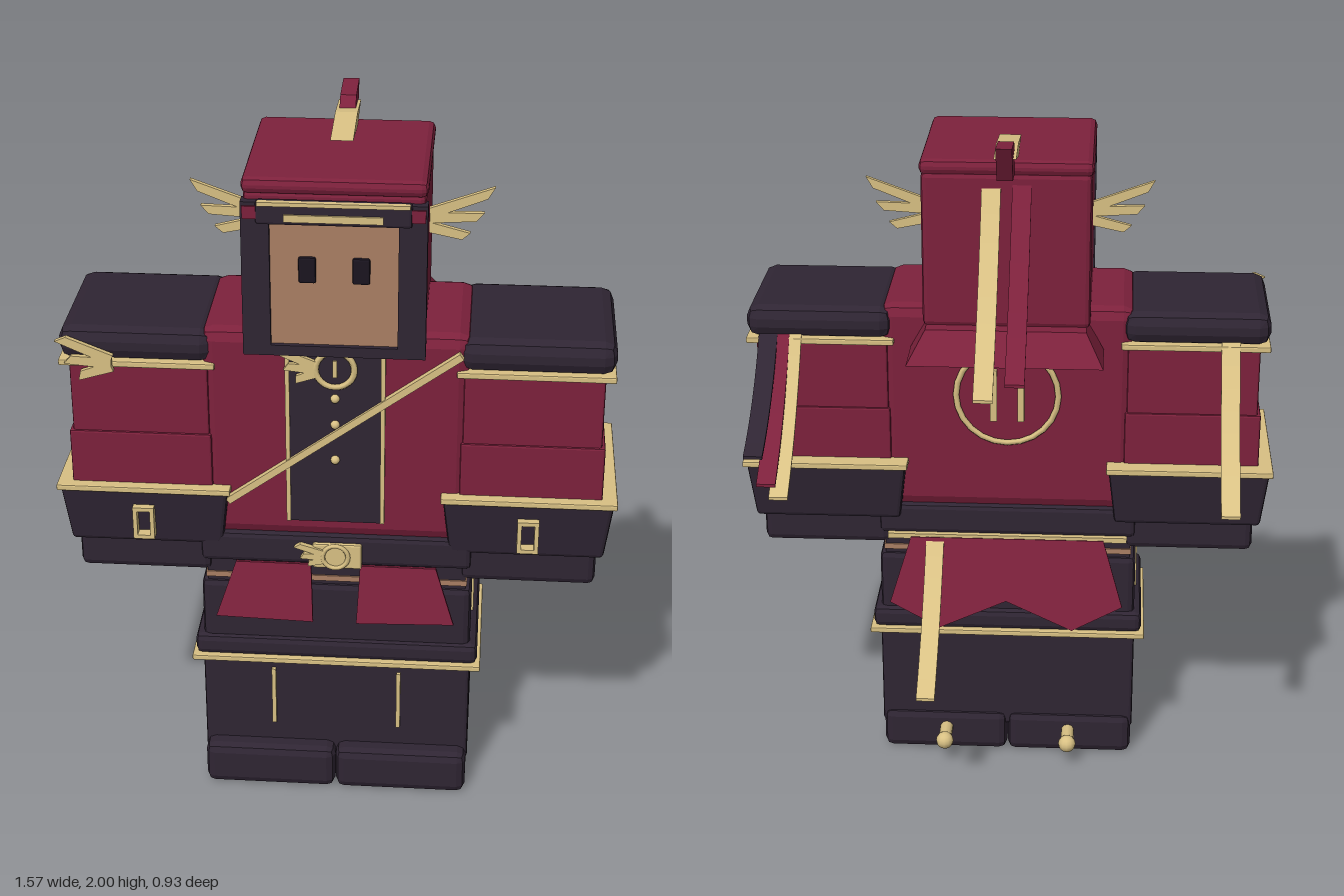
import * as THREE from 'three';
import { RoundedBoxGeometry } from 'three/addons/geometries/RoundedBoxGeometry.js';

const mat = (name, color, side = THREE.FrontSide) => {
  const m = new THREE.MeshStandardMaterial({ color, side });
  m.name = name;
  return m;
};

export function createModel() {
  const red = mat('crimson cloth', 0x7d213c, THREE.DoubleSide);
  const dark = mat('dark leather', 0x2f2533, THREE.DoubleSide);
  const gold = mat('pale gold', 0xd9c184, THREE.DoubleSide);
  const skin = mat('skin', 0xab8064);
  const black = mat('eye black', 0x1b1520);
  const root = new THREE.Group();

  const add = (name, geo, material, x = 0, y = 0, z = 0) => {
    const m = new THREE.Mesh(geo, material);
    m.name = name;
    m.position.set(x, y, z);
    root.add(m);
    return m;
  };

  // Box between limits, with chamfered edges; taper narrows the bottom
  const box = (name, material, [x0, x1], [y0, y1], [z0, z1], bevel = 0.02, s = 1, taper = 1) => {
    const w = x1 - x0, h = y1 - y0, d = z1 - z0;
    const g = bevel ? new RoundedBoxGeometry(w, h, d, 1, bevel) : new THREE.BoxGeometry(w, h, d);
    const p = g.attributes.position;
    for (let i = 0; i < p.count; i++) {
      const k = THREE.MathUtils.lerp(taper, 1, p.getY(i) / h + 0.5);
      p.setX(i, p.getX(i) * k);
      p.setZ(i, p.getZ(i) * k);
    }
    g.clearGroups();
    g.computeVertexNormals();
    return add(name, g, material, s * (x0 + x1) / 2, (y0 + y1) / 2, (z0 + z1) / 2);
  };

  const shapeOf = pts => new THREE.Shape(pts.map(p => new THREE.Vector2(...p)));
  const extrude = (shape, depth) => new THREE.ExtrudeGeometry(shape, { depth, bevelEnabled: false });
  const rect = (x, y, w, h) => [[x - w, y - h], [x + w, y - h], [x + w, y + h], [x - w, y + h]];

  // Rectangular frame with an opening
  const frame = (name, material, outer, inner, depth, z) => {
    const s = shapeOf(rect(...outer));
    s.holes.push(new THREE.Path(rect(...inner).map(p => new THREE.Vector2(...p))));
    return add(name, extrude(s, depth), material, 0, 0, z);
  };

  // Profile given as (z, y), swept across x
  const sideProfile = (name, material, pts, width) => {
    const g = extrude(shapeOf(pts), width);
    g.translate(0, 0, -width / 2).rotateY(-Math.PI / 2);
    return add(name, g, material);
  };

  // Fan of blade feathers, each from a root point to a slanted tip
  const wing = (name, blades, width, z, s = 1) => {
    for (const [x0, y0, x1, y1] of blades) {
      const n = new THREE.Vector2(y0 - y1, x1 - x0).normalize().multiplyScalar(width / 2);
      const pts = [[x0 + n.x, y0 + n.y], [x0 - n.x, y0 - n.y],
        [x0 + (x1 - x0) * 0.85 - n.x, y0 + (y1 - y0) * 0.85 - n.y], [x1 + n.x * 0.6, y1 + n.y * 0.6]];
      add(name, extrude(shapeOf(pts.map(([x, y]) => [x * s, y])), 0.015), gold, 0, 0, z);
    }
  };

  // Ribbon that sags behind the body
  const ribbon = (name, material, x, [z0, y0], [z1, y1]) => {
    const c = new THREE.QuadraticBezierCurve(new THREE.Vector2(z0, y0),
      new THREE.Vector2((z0 + z1) / 2 + 0.03, (y0 + y1) / 2 - 0.045), new THREE.Vector2(z1, y1));
    const pts = c.getPoints(8);
    const outline = [...pts.map(p => [p.x, p.y]), ...pts.reverse().map(p => [p.x, p.y - 0.009])];
    sideProfile(name, material, outline, 0.054).position.x = x;
  };

  const ring = (name, r, tube, y, z) =>
    add(name, new THREE.TorusGeometry(r, tube, 6, 24), gold, 0, y, z);

  // Head, cap and face
  box('head', red, [-0.24, 0.24], [1.44, 1.895], [-0.06, 0.42], 0.015);
  box('capTop', red, [-0.245, 0.245], [1.885, 1.93], [-0.06, 0.43], 0.018);
  box('face', skin, [-0.18, 0.18], [1.44, 1.83], [0.4, 0.426], 0);
  frame('faceFrame', dark, [0, 1.65, 0.245, 0.22], [0, 1.635, 0.17, 0.175], 0.04, 0.4);
  box('visor', dark, [-0.205, 0.205], [1.81, 1.875], [0.42, 0.45], 0.008);
  box('visorTrim', gold, [-0.2, 0.2], [1.865, 1.876], [0.44, 0.456], 0);
  box('browBar', gold, [-0.13, 0.13], [1.822, 1.842], [0.44, 0.456], 0);
  for (const s of [-1, 1]) {
    box('eye', black, [0.048, 0.095], [1.64, 1.715], [0.42, 0.434], 0.006, s);
    box('temple', red, [0.2, 0.24], [1.825, 1.86], [0.43, 0.446], 0, s);
    wing('earFeather', [[0.23, 1.735, 0.42, 1.81], [0.23, 1.725, 0.39, 1.735], [0.23, 1.7, 0.35, 1.675]], 0.03, 0.148, s);
  }
  sideProfile('crest', red, [[0, 1.925], [-0.07, 1.99], [-0.185, 2], [-0.13, 1.895], [-0.03, 1.89]], 0.045);
  sideProfile('crestPlume', gold, [[0.17, 1.944], [0, 1.965], [-0.13, 1.956], [0, 1.928]], 0.062);
  ribbon('headRibbon', red, -0.044, [-0.055, 1.87], [-0.465, 1.43]);
  ribbon('headRibbon', gold, 0.042, [-0.055, 1.86], [-0.47, 1.385]);

  // Torso and collar
  box('torso', red, [-0.37, 0.37], [0.84, 1.48], [0, 0.4], 0.035);
  const collar = sideProfile('collarFlap', red,
    [[0.01, 1.445], [-0.1, 1.445], [-0.17, 1.36], [-0.01, 1.36]], 0.56);
  const cp = collar.geometry.attributes.position;
  for (let i = 0; i < cp.count; i++) cp.setX(i, cp.getX(i) * (cp.getY(i) > 1.4 ? 0.82 : 1));
  collar.geometry.computeVertexNormals();

  // Chest placket, buttons, medallion and sash
  box('placket', dark, [-0.13, 0.13], [0.9, 1.45], [0.39, 0.41], 0);
  for (const s of [-1, 1]) box('placketTrim', gold, [0.125, 0.137], [0.9, 1.45], [0.39, 0.414], 0, s);
  for (const y of [1.1, 1.21, 1.29]) add('button', new THREE.SphereGeometry(0.013, 10, 8), gold, 0, y, 0.412);
  ring('medallion', 0.053, 0.009, 1.38, 0.415);
  box('medallionPin', gold, [-0.006, 0.006], [1.355, 1.405], [0.405, 0.415], 0);
  wing('medallionFeather', [[-0.05, 1.39, -0.165, 1.435], [-0.05, 1.38, -0.14, 1.385], [-0.05, 1.37, -0.11, 1.345]], 0.026, 0.407);
  add('sash', new THREE.BoxGeometry(0.8, 0.02, 0.02), gold, 0.02, 1.195, 0.41).rotation.z = Math.atan2(0.47, 0.64);

  // Back emblem
  ring('backRing', 0.15, 0.009, 1.21, -0.008);
  for (const s of [-1, 1]) box('backBar', gold, [0.03, 0.05], [1.13, 1.29], [-0.015, 0.005], 0, s);

  // Belt and buckle
  box('belt', dark, [-0.385, 0.385], [0.755, 0.85], [-0.01, 0.41], 0.015);
  box('beltBackTrim', gold, [-0.36, 0.36], [0.742, 0.758], [-0.02, 0.01], 0);
  box('waist', dark, [-0.37, 0.37], [0.66, 0.76], [0.01, 0.39], 0);
  box('waistBand', skin, [-0.374, 0.374], [0.693, 0.71], [0.005, 0.395], 0);
  box('buckle', gold, [-0.065, 0.075], [0.75, 0.83], [0.4, 0.42], 0.006);
  ring('buckleRing', 0.036, 0.007, 0.79, 0.422);
  wing('buckleFeather', [[-0.03, 0.8, -0.115, 0.825], [-0.03, 0.79, -0.1, 0.79], [-0.03, 0.78, -0.08, 0.765]], 0.02, 0.412);

  // Coat tails, hinged at the belt and leaning outward
  for (const s of [-1, 1]) {
    const pts = [[0.07, 0], [0.285, 0], [0.34, -0.165], [0.062, -0.172]].map(([x, y]) => [x * s, y]);
    add('frontTail', extrude(shapeOf(pts), 0.015), red, 0, 0.755, 0.4).rotation.x = -0.26;
  }
  add('backTail', extrude(shapeOf([[-0.29, 0], [0.29, 0], [0.35, -0.2], [0.2, -0.275], [0, -0.19],
    [-0.2, -0.275], [-0.35, -0.2]]), 0.015), red, 0, 0.75, -0.025).rotation.x = 0.32;
  ribbon('waistRibbon', gold, 0.217, [-0.015, 0.755], [-0.415, 0.42]);

  // Legs
  box('thighs', dark, [-0.388, 0.388], [0.48, 0.685], [0, 0.4], 0.02);
  box('kneeBand', dark, [-0.41, 0.41], [0.435, 0.5], [-0.02, 0.415], 0.018);
  box('kneeTrim', gold, [-0.42, 0.42], [0.42, 0.437], [-0.03, 0.425], 0.004);
  box('shins', dark, [-0.39, 0.39], [0.09, 0.425], [0, 0.4], 0.01);
  for (const s of [-1, 1]) {
    box('boot', dark, [0.001, 0.386], [0, 0.135], [-0.012, 0.456], 0.025, s);
    box('shinStrip', gold, [0.177, 0.189], [0.2, 0.39], [0.395, 0.412], 0, s);
    box('thighStrip', gold, [0.38, 0.394], [0.5, 0.68], [0.175, 0.22], 0, s);
    const rod = new THREE.CylinderGeometry(0.02, 0.02, 0.08, 10).rotateX(Math.PI / 2);
    add('spurRod', rod, gold, s * 0.19, 0.08, -0.045);
    add('spurBall', new THREE.SphereGeometry(0.027, 12, 8), gold, s * 0.19, 0.08, -0.092);
  }

  // Arms
  for (const s of [-1, 1]) {
    box('shoulderCap', dark, [0.335, 0.76], [1.375, 1.47], [-0.015, 0.405], 0.035, s);
    box('shoulderTrim', gold, [0.33, 0.76], [1.362, 1.38], [-0.02, 0.41], 0.004, s);
    box('upperArm', red, [0.35, 0.732], [1.155, 1.37], [0, 0.4], 0.006, s);
    box('forearm', red, [0.345, 0.742], [0.97, 1.16], [-0.005, 0.405], 0.006, s);
    box('cuff', dark, [0.3, 0.775], [0.81, 0.99], [-0.045, 0.43], 0.012, s, 0.91);
    box('cuffTrim', gold, [0.294, 0.784], [0.982, 1], [-0.058, 0.436], 0.004, s);
    box('hand', dark, [0.355, 0.735], [0.715, 0.84], [0, 0.4], 0.02, s);
    frame('cuffOrnament', gold, [s * 0.54, 0.89, 0.03, 0.05], [s * 0.54, 0.89, 0.018, 0.038], 0.035, 0.41);
  }
  wing('shoulderFeather', [[-0.61, 1.39, -0.76, 1.45], [-0.61, 1.38, -0.74, 1.385], [-0.61, 1.37, -0.705, 1.335]], 0.03, 0.41);
  ribbon('shoulderRibbon', gold, -0.645, [-0.01, 1.39], [-0.375, 1.01]);
  ribbon('shoulderRibbon', gold, 0.625, [-0.01, 1.39], [-0.38, 1.04]);
  ribbon('shoulderRibbon', red, 0.66, [-0.01, 1.39], [-0.37, 1.075]);
  ribbon('shoulderRibbon', dark, 0.695, [-0.01, 1.39], [-0.36, 1.155]);

  return root;
}
